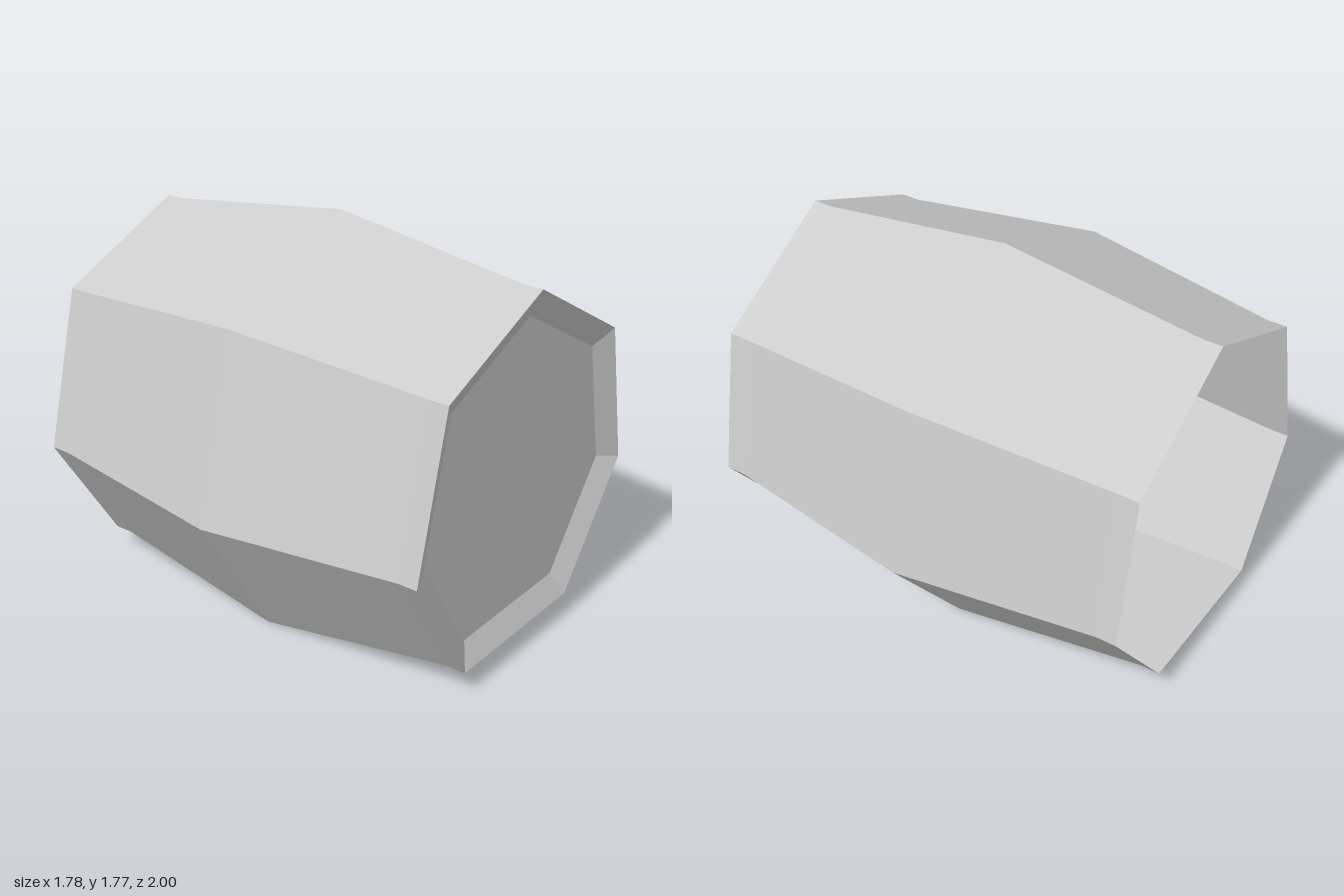
import * as THREE from 'three';

// Uneven seven-sided section at the widest point, relative to its centre
const CENTRE_Y = 0.84;
const SECTION = [
  [0.04, 0.935], [0.745, 0.53], [0.888, -0.225], [0.42, -0.824],
  [-0.48, -0.837], [-0.89, -0.195], [-0.685, 0.62],
];

const ring = (scale, z) =>
  SECTION.map(([x, y]) => new THREE.Vector3(x * scale, CENTRE_Y + y * scale, z));

// Flat-shaded skin through successive rings, running from back to front
function loft(rings, name, material) {
  const points = [];
  for (let r = 0; r < rings.length - 1; r++) {
    const back = rings[r], front = rings[r + 1];
    back.forEach((a, i) => {
      const j = (i + 1) % back.length;
      const b = back[j], c = front[j], d = front[i];
      points.push(a, d, c, a, c, b);
    });
  }
  const geometry = new THREE.BufferGeometry().setFromPoints(points);
  geometry.computeVertexNormals();
  const mesh = new THREE.Mesh(geometry, material);
  mesh.name = name;
  return mesh;
}

export function createModel() {
  const group = new THREE.Group();
  group.name = 'barrel';
  const material = new THREE.MeshStandardMaterial({
    color: 0xcccccc, flatShading: true, side: THREE.DoubleSide,
  });

  // Bulging wall with a short straight collar at each end, open at the back
  const END = 0.866, INSET = 0.737, INSET_Z = 0.95;
  group.add(loft(
    [ring(END, -1), ring(END, -0.91), ring(1, 0), ring(END, 0.91), ring(END, 1)],
    'wall', material));

  // Bevel sloping in from the front rim to the recessed lid
  group.add(loft([ring(END, 1), ring(INSET, INSET_Z)], 'frontBevel', material));

  // Recessed front lid
  const outline = ring(INSET, 0).map((p) => new THREE.Vector2(p.x, p.y));
  const lid = new THREE.Mesh(new THREE.ShapeGeometry(new THREE.Shape(outline)), material);
  lid.name = 'frontLid';
  lid.position.z = INSET_Z;
  group.add(lid);

  return group;
}
